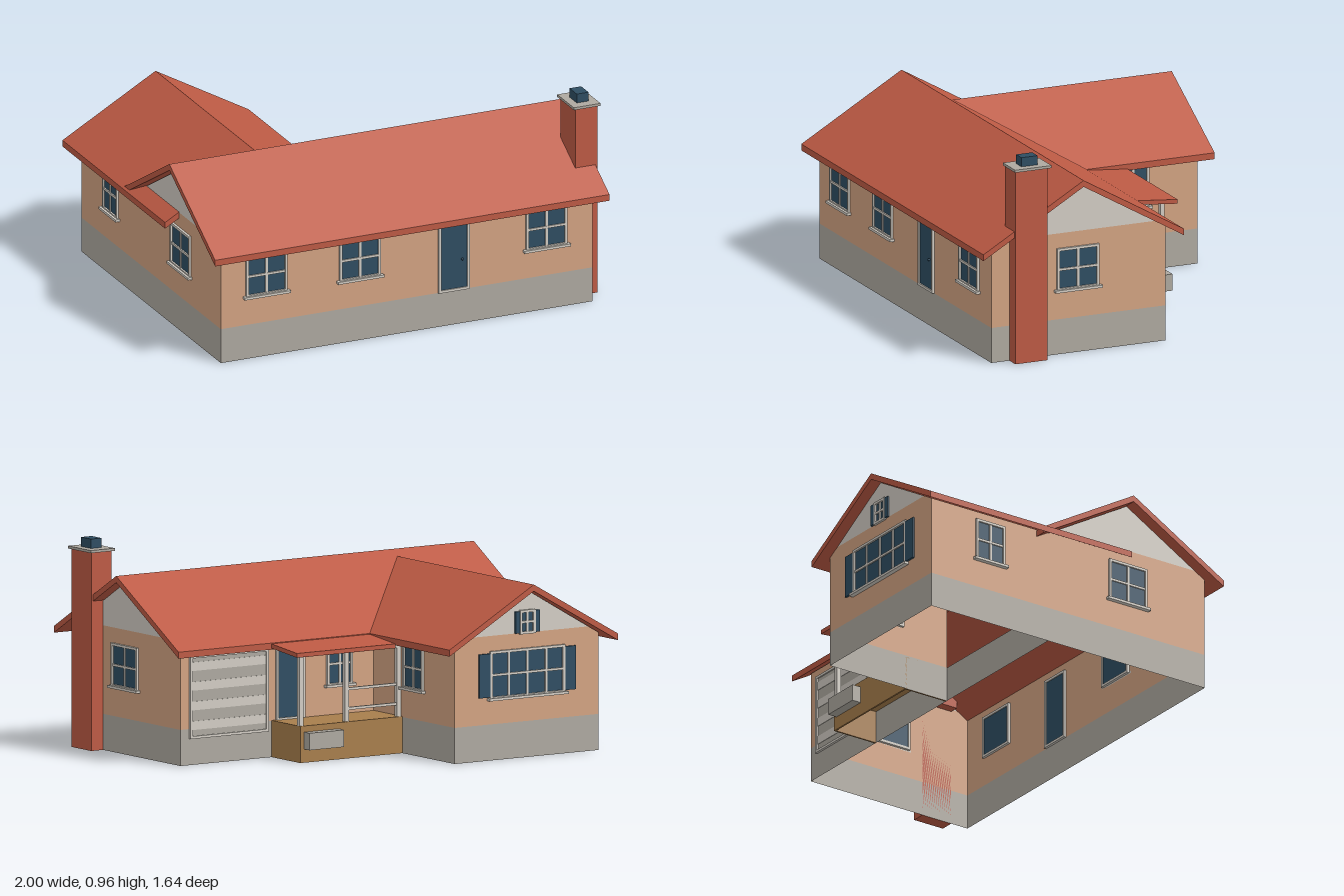
import * as THREE from 'three';

const mat = (name, color, side = THREE.FrontSide) => {
  const m = new THREE.MeshStandardMaterial({ color, side });
  m.name = name;
  return m;
};

export function createModel() {
  const house = new THREE.Group();
  house.name = 'house';
  const D = THREE.DoubleSide;
  const red = mat('roofRed', 0xbd5a44);
  const tan = mat('wallTan', 0xd3a382, D);
  const grey = mat('baseGrey', 0xaea9a0, D);
  const light = mat('trimLight', 0xd2cdc4, D);
  const blue = mat('glassBlue', 0x2e4d62);
  const brown = mat('deckBrown', 0xa87e4c, D);

  const add = (parent, name, geometry, material) => {
    const m = new THREE.Mesh(geometry, material);
    m.name = name;
    parent.add(m);
    return m;
  };
  // Box from its minimum and maximum corners
  const box = (parent, name, material, x0, x1, y0, y1, z0, z1) => {
    const m = add(parent, name, new THREE.BoxGeometry(x1 - x0, y1 - y0, z1 - z0), material);
    m.position.set((x0 + x1) / 2, (y0 + y1) / 2, (z0 + z1) / 2);
    return m;
  };
  const shape = pts => new THREE.Shape(pts.map(p => new THREE.Vector2(...p)));

  // Wall frame: local +z points out of the house
  const TURN = { front: 0, back: Math.PI, left: Math.PI / 2, right: -Math.PI / 2 };
  const onWall = (name, side, x, y, z) => {
    const g = new THREE.Group();
    g.name = name;
    g.position.set(x, y, z);
    g.rotation.y = TURN[side];
    house.add(g);
    return g;
  };

  // ---- Walls: open shells with a base band, a plain wall and optional gable
  const BASE = 0.165, EAVE = 0.538, BAND = 0.57;
  const wall = (name, side, x, z, half, apex) => {
    const g = onWall(name, side, x, 0, z);
    const rect = (a, b) => shape([[-half, a], [half, a], [half, b], [-half, b]]);
    add(g, name + 'Base', new THREE.ShapeGeometry(rect(0, BASE)), grey);
    if (!apex) {
      add(g, name + 'Plain', new THREE.ShapeGeometry(rect(BASE, EAVE)), tan);
      return;
    }
    const k = half * (apex - BAND) / (apex - EAVE);
    add(g, name + 'Plain', new THREE.ShapeGeometry(shape(
      [[-half, BASE], [half, BASE], [half, EAVE], [k, BAND], [-k, BAND], [-half, EAVE]])), tan);
    add(g, name + 'Gable', new THREE.ShapeGeometry(shape([[-k, BAND], [k, BAND], [0, apex]])), light);
  };
  wall('frontWall', 'front', -0.005, 0.755, 0.925);
  wall('leftGableWall', 'left', 0.92, 0.32, 0.435, 0.79);
  wall('rightGableWall', 'right', -0.93, 0.32, 0.435, 0.79);
  wall('backWall', 'back', 0.39, -0.115, 0.53);
  wall('wingGableWall', 'back', -0.535, -0.765, 0.395, 0.765);
  wall('wingLeftWall', 'left', -0.14, -0.44, 0.325);
  wall('wingRightWall', 'right', -0.93, -0.44, 0.325);
  // foundation strip between the main house and the wing
  const strip = add(house, 'innerBase', new THREE.PlaneGeometry(0.79, BASE), grey);
  strip.position.set(-0.535, BASE / 2, -0.115);

  // ---- Roofs: chevron section extruded along the ridge
  const gableRoof = (name, half, ridge, eave, length) => {
    const t = 0.03;
    const s = shape([[-half, eave - t], [0, ridge - t], [half, eave - t], [half, eave], [0, ridge], [-half, eave]]);
    return add(house, name, new THREE.ExtrudeGeometry(s, { depth: length, bevelEnabled: false }), red);
  };
  const main = gableRoof('mainRoof', 0.5, 0.822, 0.533, 1.963);
  main.rotation.y = Math.PI / 2;
  main.position.set(-0.988, 0, 0.32);
  gableRoof('wingRoof', 0.463, 0.795, 0.533, 1.12).position.set(-0.537, 0, -0.82);
  const porchRoof = add(house, 'porchRoof', new THREE.ExtrudeGeometry(
    shape([[0.12, 0.515], [0.385, 0.49], [0.385, 0.51], [0.12, 0.535]]),
    { depth: 0.54, bevelEnabled: false }), red);
  porchRoof.rotation.y = Math.PI / 2;
  porchRoof.position.x = -0.075;

  // ---- Windows and doors
  const border = (g, w, h, t) => {
    for (const s of [-1, 1]) {
      const x = s * (w - t) / 2, y = s * (h - t) / 2;
      box(g, 'frameSide', light, x - t / 2, x + t / 2, -h / 2, h / 2, -0.012, 0.011);
      box(g, 'frameRail', light, -w / 2 + t, w / 2 - t, y - t / 2, y + t / 2, -0.012, 0.011);
    }
  };
  const windowAt = (name, side, x, y, z, w, h, cols = 2, rows = 2, sill = true) => {
    const g = onWall(name, side, x, y, z);
    const t = 0.012, bar = 0.011;
    border(g, w, h, t);
    box(g, 'glass', blue, -w / 2 + t, w / 2 - t, -h / 2 + t, h / 2 - t, -0.008, 0.003);
    for (let i = 1; i < cols; i++) {
      const u = -w / 2 + w * i / cols;
      box(g, 'mullion', light, u - bar / 2, u + bar / 2, -h / 2 + t, h / 2 - t, 0.002, 0.008);
    }
    for (let i = 1; i < rows; i++) {
      const v = -h / 2 + h * i / rows;
      box(g, 'glazingBar', light, -w / 2 + t, w / 2 - t, v - bar / 2, v + bar / 2, 0.002, 0.009);
    }
    if (sill) box(g, 'sill', light, -w / 2 - 0.012, w / 2 + 0.012, -h / 2 - 0.006, -h / 2 + 0.006, 0, 0.022);
    return g;
  };
  for (const x of [-0.705, -0.24, 0.688]) windowAt('frontWindow', 'front', x, 0.4, 0.755, 0.205, 0.2);
  windowAt('leftWindow', 'left', 0.92, 0.4, 0.325, 0.21, 0.2);
  windowAt('rightWindow', 'right', -0.93, 0.4, 0.325, 0.21, 0.2);
  windowAt('wingLeftWindow', 'left', -0.14, 0.4, -0.44, 0.16, 0.2);
  windowAt('wingRightWindow', 'right', -0.93, 0.4, -0.44, 0.16, 0.2);
  windowAt('porchWindow', 'back', 0.05, 0.4, -0.115, 0.14, 0.2);

  const shutters = (g, w, h, sw) => {
    for (const s of [-1, 1]) {
      const x = s * (w + sw) / 2;
      box(g, 'shutter', blue, x - sw / 2, x + sw / 2, -h / 2, h / 2, 0, 0.01);
    }
  };
  shutters(windowAt('wingWindow', 'back', -0.535, 0.39, -0.765, 0.41, 0.22, 4, 2), 0.41, 0.2, 0.06);
  shutters(windowAt('atticWindow', 'back', -0.535, 0.62, -0.765, 0.085, 0.11, 2, 2, false), 0.085, 0.1, 0.024);

  const doorAt = (name, side, x, z) => {
    const g = onWall(name, side, x, 0.332, z);
    border(g, 0.155, 0.334, 0.012);
    box(g, 'doorPanel', blue, -0.066, 0.066, -0.16, 0.155, -0.008, 0.005);
    const knob = add(g, 'knob', new THREE.SphereGeometry(0.006, 10, 8), blue);
    knob.position.set(0.04, -0.017, 0.01);
  };
  doorAt('frontDoor', 'front', 0.228, 0.755);
  doorAt('porchDoor', 'back', 0.32, -0.115);

  // ---- Garage door with pale horizontal panels
  const garage = onWall('garageDoor', 'back', 0.657, 0.31, -0.115);
  border(garage, 0.43, 0.38, 0.012);
  box(garage, 'garagePanel', grey, -0.203, 0.203, -0.178, 0.178, -0.005, 0.005);
  for (let i = 0; i < 4; i++) {
    const y = -0.15 + i * 0.09;
    box(garage, 'garageStripe', light, -0.203, 0.203, y, y + 0.04, 0.004, 0.007);
  }

  // ---- Chimney
  box(house, 'chimneyStack', red, 0.92, 0.985, 0, 0.908, 0.505, 0.665);
  box(house, 'chimneyTop', red, 0.875, 0.92, 0.56, 0.908, 0.505, 0.665);
  box(house, 'chimneyCap', grey, 0.865, 0.998, 0.908, 0.92, 0.49, 0.672);
  box(house, 'flue', blue, 0.902, 0.96, 0.92, 0.963, 0.543, 0.623);

  // ---- Porch: hollow deck, step, posts and railing
  box(house, 'deckFloor', brown, -0.14, 0.42, 0.155, 0.168, -0.345, -0.116);
  box(house, 'deckFront', brown, -0.14, 0.42, 0, 0.155, -0.345, -0.337);
  box(house, 'deckLeft', brown, 0.412, 0.42, 0, 0.155, -0.337, -0.116);
  box(house, 'deckRight', brown, -0.139, -0.131, 0, 0.155, -0.337, -0.116);
  box(house, 'step', grey, 0.21, 0.4, 0.062, 0.14, -0.39, -0.345);
  for (const x of [0.41, 0.16, -0.125])
    box(house, 'porchPost', light, x - 0.01, x + 0.01, 0.168, 0.5, -0.34, -0.32);
  box(house, 'porchBeam', light, -0.135, 0.42, 0.482, 0.498, -0.34, -0.32);
  for (const y of [0.22, 0.31])
    box(house, 'railing', light, -0.125, 0.16, y, y + 0.012, -0.336, -0.324);

  return house;
}
